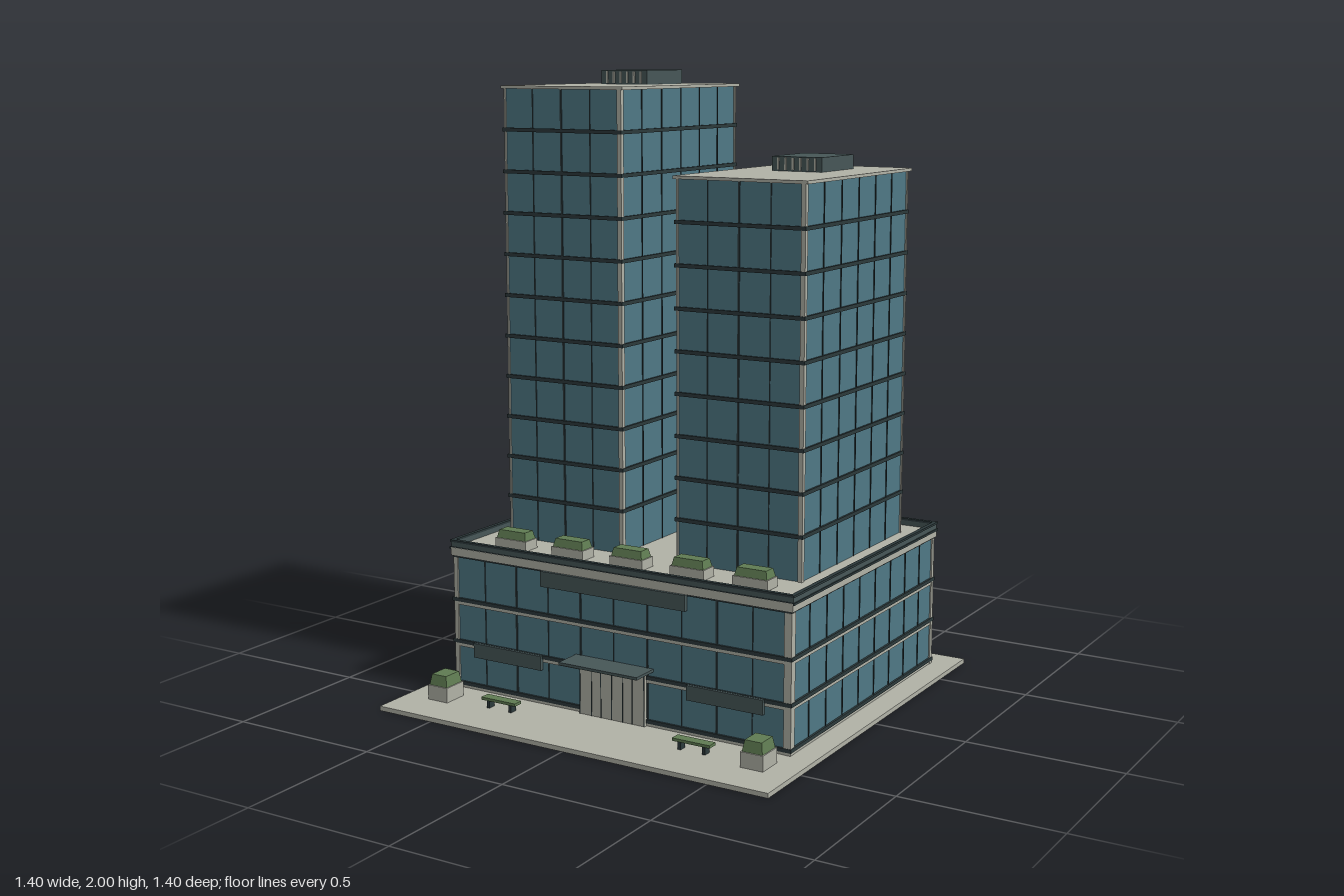
import * as THREE from 'three';

const mat = (name, color) => Object.assign(new THREE.MeshStandardMaterial({ color }), { name });

export function createModel() {
  const glass = mat('blue glass', 0x4f7885);
  const stone = mat('pale stone', 0xb0b1a6);
  const metal = mat('slate metal', 0x465657);
  const dark = mat('dark frame', 0x2c393b);
  const green = mat('foliage', 0x5f7b52);

  const model = new THREE.Group();
  model.name = 'twinTowerBuilding';

  const group = (name, parent = model) => {
    const g = new THREE.Group();
    g.name = name;
    parent.add(g);
    return g;
  };

  // Box given by its two limits on each axis
  const box = (parent, name, material, x0, x1, y0, y1, z0, z1) => {
    const m = new THREE.Mesh(new THREE.BoxGeometry(x1 - x0, y1 - y0, z1 - z0), material);
    m.position.set((x0 + x1) / 2, (y0 + y1) / 2, (z0 + z1) / 2);
    m.name = name;
    parent.add(m);
    return m;
  };

  // Curtain wall on the front (+z) and right (+x) faces of a block
  function curtainWall(g, o) {
    const { x0, x1, y0, y1, z0, z1 } = o;
    box(g, 'frontGlass', glass, x0 + 0.003, x1, y0, y1, z1, z1 + 0.004);
    box(g, 'sideGlass', glass, x1, x1 + 0.004, y0, y1, z0 + 0.003, z1 + 0.004);
    // Upright mullions
    for (let i = 1; i < o.nx; i++) {
      const x = x0 + ((x1 - x0) * i) / o.nx, w = i % 2 ? 0.0012 : 0.003;
      box(g, 'frontMullion', dark, x - w, x + w, y0, y1, z1, z1 + 0.007);
    }
    for (let i = 1; i < o.nz; i++) {
      const z = z0 + ((z1 - z0) * i) / o.nz;
      box(g, 'sideMullion', dark, x1, x1 + 0.007, y0, y1, z - 0.0015, z + 0.0015);
    }
    // Floor ledges, with a pale spandrel beneath where asked for
    for (const y of o.floors) {
      const p = 0.011;
      box(g, 'frontLedge', dark, x0 - 0.006, x1 + p, y - 0.006, y + 0.006, z1, z1 + p);
      box(g, 'sideLedge', dark, x1, x1 + p, y - 0.006, y + 0.006, z0 - 0.004, z1);
      if (o.spandrel) {
        box(g, 'frontSpandrel', stone, x0, x1 + 0.008, y - 0.017, y - 0.006, z1, z1 + 0.008);
        box(g, 'sideSpandrel', stone, x1, x1 + 0.008, y - 0.017, y - 0.006, z0, z1);
      }
    }
    // Corner posts
    const w = o.post;
    box(g, 'cornerPost', stone, x0, x0 + w, y0, y1, z1, z1 + 0.009);
    box(g, 'cornerPost', stone, x1 - w, x1 + 0.009, y0, y1, z1 - w, z1 + 0.009);
    box(g, 'cornerPost', stone, x1, x1 + 0.009, y0, y1, z0, z0 + w);
  }

  // Planter: stone trough with a tapered hedge
  function planter(x, y, z, w, d, h, hedgeH) {
    const g = group('planter');
    g.position.set(x, y, z);
    box(g, 'trough', stone, -w / 2, w / 2, 0, h, -d / 2, d / 2);
    const hedge = box(g, 'hedge', green, -w / 2 + 0.004, w / 2 - 0.004, h, h + hedgeH, -d / 2 + 0.004, d / 2 - 0.004);
    const p = hedge.geometry.attributes.position;
    for (let i = 0; i < p.count; i++) {
      if (p.getY(i) > 0) {
        p.setX(i, p.getX(i) - Math.sign(p.getX(i)) * 0.006);
        p.setZ(i, p.getZ(i) - Math.sign(p.getZ(i)) * 0.006);
      }
    }
    hedge.geometry.computeVertexNormals();
  }

  // Plaza
  box(model, 'plaza', stone, -0.7, 0.7, 0, 0.015, -0.7, 0.7);

  // Podium
  const podium = group('podium');
  box(podium, 'podiumCore', stone, -0.615, 0.612, 0.015, 0.48, -0.605, 0.408);
  curtainWall(podium, {
    x0: -0.615, x1: 0.612, y0: 0.015, y1: 0.45, z0: -0.605, z1: 0.408,
    nx: 10, nz: 9, floors: [0.03, 0.17, 0.31], spandrel: true, post: 0.016,
  });
  box(podium, 'cornice', stone, -0.622, 0.625, 0.455, 0.482, -0.612, 0.42);
  box(podium, 'corniceShadowLine', dark, -0.618, 0.619, 0.45, 0.455, -0.608, 0.416);

  // Parapet ring with a thin cap
  const ring = (name, material, e, t, y0, y1) => {
    const X = 0.623 + e, a = -0.61 - e, b = 0.413 + e;
    box(podium, name, material, -X, X, y0, y1, b - t, b);
    box(podium, name, material, -X, X, y0, y1, a, a + t);
    box(podium, name, material, -X, -X + t, y0, y1, a + t, b - t);
    box(podium, name, material, X - t, X, y0, y1, a + t, b - t);
  };
  ring('parapet', metal, 0.002, 0.01, 0.48, 0.5);
  ring('parapetCap', dark, 0.005, 0.014, 0.499, 0.506);
  ring('parapetFoot', dark, 0.006, 0.012, 0.476, 0.483);

  // Entrance, canopy and blank sign panels
  const entrance = group('entrance');
  box(entrance, 'doorway', stone, -0.12, 0.12, 0.015, 0.19, 0.408, 0.428);
  for (const x of [-0.118, -0.075, -0.04, 0, 0.04, 0.075, 0.118])
    box(entrance, 'doorJoint', dark, x - 0.0012, x + 0.0012, 0.015, 0.188, 0.427, 0.4295);
  box(entrance, 'canopy', metal, -0.143, 0.143, 0.191, 0.2, 0.408, 0.508);
  box(entrance, 'mainPanel', metal, -0.265, 0.265, 0.405, 0.455, 0.415, 0.43);
  for (const s of [-1, 1])
    box(entrance, 'sidePanel', metal, s * 0.4 - 0.132, s * 0.4 + 0.132, 0.128, 0.175, 0.415, 0.428);

  // Service door at the back
  box(podium, 'serviceDoor', metal, -0.09, 0.09, 0.015, 0.155, -0.611, -0.605);

  // Towers
  function tower(name, cx, top, floorCount) {
    const g = group(name);
    const x0 = cx - 0.218, x1 = cx + 0.215, z0 = -0.505, z1 = 0.2;
    box(g, 'towerCore', metal, x0, x1, 0.48, top - 0.01, z0, z1);
    curtainWall(g, {
      x0, x1, y0: 0.48, y1: top - 0.01, z0, z1, nx: 4, nz: 6,
      floors: Array.from({ length: floorCount }, (_, i) => 0.622 + i * 0.1326),
      spandrel: false, post: 0.006,
    });
    box(g, 'roofSlab', stone, cx - 0.23, cx + 0.23, top - 0.01, top, -0.52, 0.21);
    // Rooftop plant room with louvre fins
    box(g, 'plantRoom', metal, cx - 0.088, cx + 0.088, top, top + 0.046, -0.38, -0.158);
    for (let i = 0; i < 6; i++) {
      const x = cx - 0.065 + i * 0.026;
      box(g, 'louvreFin', stone, x - 0.003, x + 0.003, top + 0.004, top + 0.042, -0.158, -0.154);
    }
  }
  tower('tallTower', -0.32, 1.954, 10);
  tower('shortTower', 0.32, 1.69, 8);

  // Roof terrace planters
  for (let i = -2; i <= 2; i++) planter(i * 0.22, 0.48, 0.313, 0.12, 0.064, 0.034, 0.026);

  // Plaza planters and benches
  for (const s of [-1, 1]) {
    planter(s * 0.573, 0.015, 0.525, 0.076, 0.086, 0.048, 0.035);
    const bench = group('bench');
    bench.position.set(s * 0.353, 0.015, 0.525);
    box(bench, 'seat', green, -0.065, 0.065, 0.025, 0.034, -0.017, 0.017);
    for (const t of [-1, 1])
      box(bench, 'leg', dark, t * 0.042 - 0.005, t * 0.042 + 0.005, 0, 0.025, -0.013, 0.013);
  }

  return model;
}
